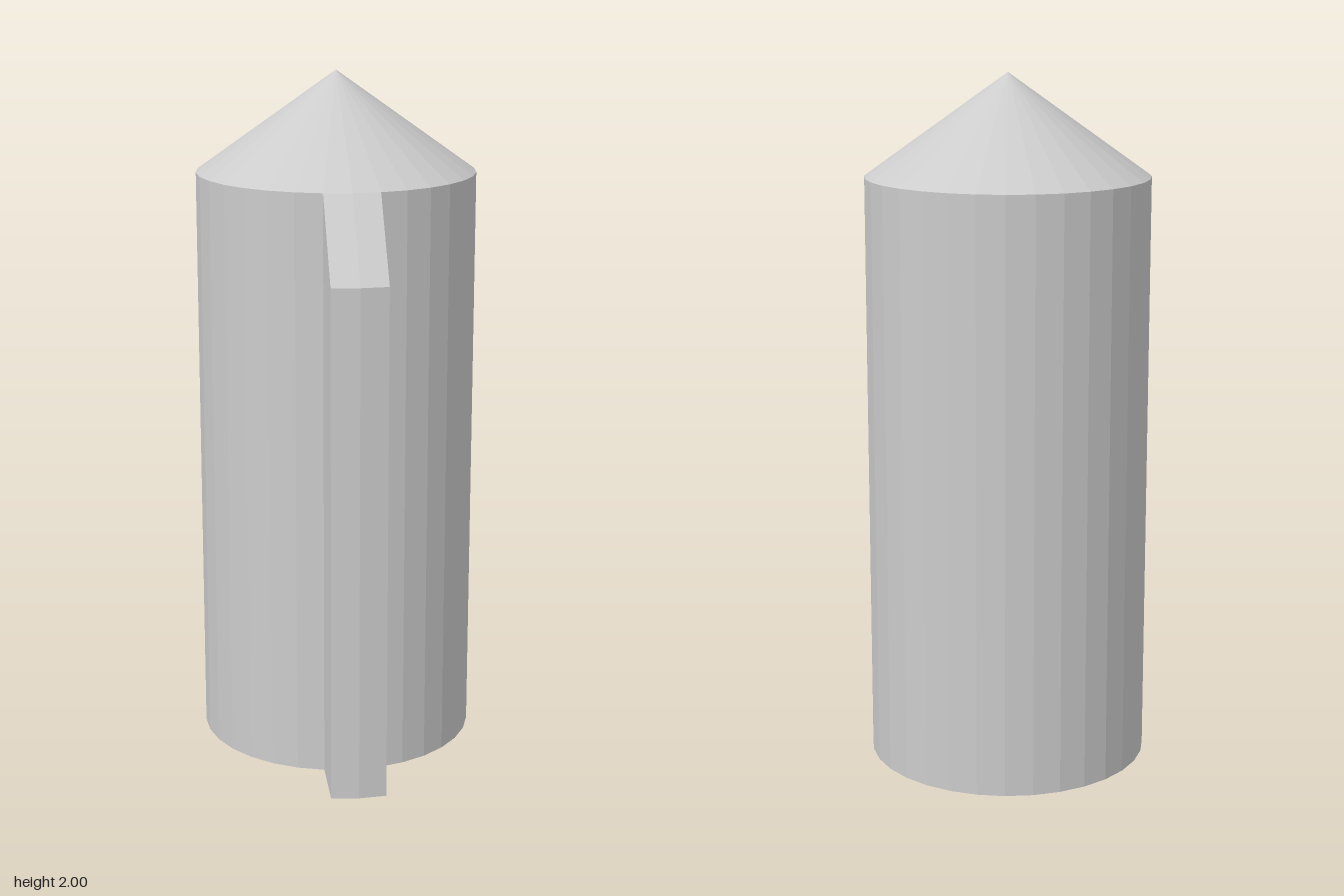
import * as THREE from 'three';

const SIDES = 32, RADIUS = 0.407, AXIS_Z = -0.093, EAVES = 1.71, TOP = 2;

export function createModel() {
  const model = new THREE.Group();
  const material = new THREE.MeshStandardMaterial({ color: 0xcccccc, flatShading: true });
  const add = (name, geometry, y, z) => {
    const mesh = new THREE.Mesh(geometry, material);
    mesh.name = name;
    mesh.position.set(0, y, z);
    model.add(mesh);
  };

  // Round body: open wall closed by a floor disc
  add('body', new THREE.CylinderGeometry(RADIUS, RADIUS, EAVES, SIDES, 1, true), EAVES / 2, AXIS_Z);
  const floor = new THREE.CircleGeometry(RADIUS, SIDES).rotateX(Math.PI / 2);
  add('floor', floor, 0, AXIS_Z);

  // Conical roof, flush with the wall
  const roofHeight = TOP - EAVES;
  add('roof', new THREE.ConeGeometry(RADIUS, roofHeight, SIDES, 1, true), EAVES + roofHeight / 2, AXIS_Z);

  // Front rib: two wall facets pushed forward, with a sloping top
  const step = (2 * Math.PI) / SIDES;
  const halfWidth = RADIUS * Math.sin(step);
  const setBack = RADIUS * (1 - Math.cos(step));
  const backZ = AXIS_Z + RADIUS, frontZ = 0.5, frontTop = 1.487;
  const rib = new THREE.BoxGeometry(2 * halfWidth, 1, 1, 2, 1, 1);
  const p = rib.attributes.position;
  for (let i = 0; i < p.count; i++) {
    const front = p.getZ(i) > 0;
    const inset = Math.abs(p.getX(i)) > 0.01 ? setBack : 0;
    p.setY(i, p.getY(i) < 0 ? 0 : front ? frontTop : EAVES);
    p.setZ(i, (front ? frontZ : backZ) - inset);
  }
  rib.computeVertexNormals();
  add('frontRib', rib, 0, 0);

  return model;
}
